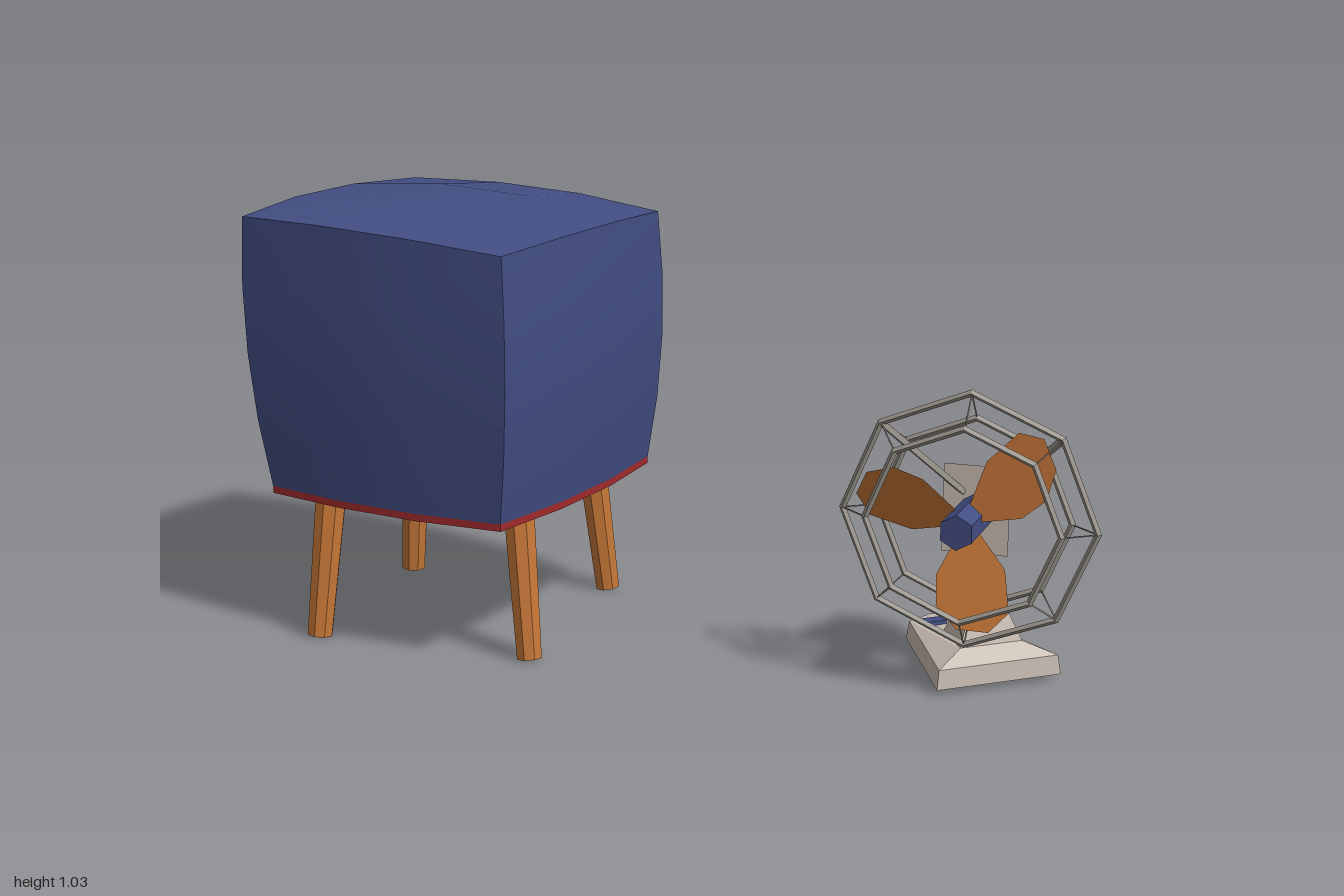
import * as THREE from 'three';

const mat = (name, color, extra = {}) => {
  const m = new THREE.MeshStandardMaterial({ color, ...extra });
  m.name = name;
  return m;
};

export function createModel() {
  const blue = mat('blue fabric', 0x424d82);
  const red = mat('red trim', 0xa02a2c);
  const orange = mat('orange wood', 0xc87838, { side: THREE.DoubleSide, flatShading: true });
  const beige = mat('beige casing', 0xc8bcb2, { flatShading: true });
  const wire = mat('grey wire', 0x98928a, { flatShading: true });
  const navy = mat('blue plastic', 0x424d82, { flatShading: true });

  const model = new THREE.Group();
  const add = (parent, name, geo, material, x = 0, y = 0, z = 0) => {
    const m = new THREE.Mesh(geo, material);
    m.name = name;
    m.position.set(x, y, z);
    parent.add(m);
    return m;
  };
  const group = (parent, name, x = 0, y = 0, z = 0, yaw = 0) => {
    const g = new THREE.Group();
    g.name = name;
    g.position.set(x, y, z);
    g.rotation.y = yaw;
    parent.add(g);
    return g;
  };
  // straight rod between two points
  const rod = (parent, name, a, b, r0, r1, sides, material) => {
    const d = b.clone().sub(a);
    const m = add(parent, name, new THREE.CylinderGeometry(r1, r0, d.length(), sides), material);
    m.position.copy(a).addScaledVector(d, 0.5);
    m.quaternion.setFromUnitVectors(new THREE.Vector3(0, 1, 0), d.normalize());
    return m;
  };
  const V = (x, y, z) => new THREE.Vector3(x, y, z);

  // ---- stool ----
  const stool = group(model, 'stool');
  // pillow-like bulge applied to a subdivided cube
  const bulge = (geo, place) => {
    const p = geo.attributes.position;
    for (let i = 0; i < p.count; i++) {
      const x = p.getX(i), y = p.getY(i), z = p.getZ(i);
      const { t, h } = place(x, y, z);
      const hx = 0.322 + 0.113 * t - 0.078 * t * t;
      const hz = 0.331 + 0.064 * t - 0.052 * t * t;
      p.setXYZ(i, x * (hx + 0.028 * (1 - z * z)) - 0.01 * t, h, z * (hz + 0.028 * (1 - x * x)));
    }
    geo.computeVertexNormals();
    return geo;
  };
  const cushion = group(stool, 'cushionGroup', -0.57, 0, 0, -0.2);
  add(cushion, 'cushion', bulge(new THREE.BoxGeometry(2, 2, 2, 3, 4, 3), (x, y, z) => {
    const t = (y + 1) / 2, fx = 1 - x * x, fz = 1 - z * z;
    const top = 0.985 - 0.015 * x + 0.014 * (fx + fz) + 0.02 * fx * fz;
    return { t, h: 0.356 + (top - 0.356) * t };
  }), blue);
  add(cushion, 'trimPlate', bulge(new THREE.BoxGeometry(2, 2, 2, 3, 1, 3),
    (x, y) => ({ t: 0, h: y < 0 ? 0.339 : 0.356 })), red);
  for (const sx of [-1, 1]) for (const sz of [-1, 1]) {
    rod(stool, 'stoolLeg', V(-0.57 + sx * 0.268, 0.001, sz * 0.273),
      V(-0.57 + sx * 0.238, 0.345, sz * 0.245), 0.031, 0.038, 8, orange);
  }

  // ---- fan ----
  const fan = group(model, 'fan', 0.7, 0, 0);

  // base and stem: one outline lofted upward
  const outline = [[0.155, 0.12], [0.075, -0.215], [0, -0.25], [-0.075, -0.215], [-0.155, 0.12]];
  const levels = [
    { y: 0.01, s: 1, c: 0 }, { y: 0.055, s: 0.96, c: 0 },
    { y: 0.085, s: 0.5, c: 0.015 }, { y: 0.22, s: 0.14, c: 0.02 }, { y: 0.36, s: 0.14, c: 0.02 },
  ];
  const rings = levels.map(({ y, s, c }) => outline.map(([x, z]) =>
    // the slim upper levels become rounder in plan
    V(x * s, y - (s === 0.5 && z < 0 ? 0.018 : 0), (s < 0.2 ? z * 0.75 : z) * s + c)));
  const pos = [], n = outline.length;
  const tri = (...pts) => pts.forEach(p => pos.push(p.x, p.y, p.z));
  for (let k = 0; k < rings.length - 1; k++) for (let i = 0; i < n; i++) {
    const j = (i + 1) % n, lo = rings[k], hi = rings[k + 1];
    tri(lo[i], lo[j], hi[j]);
    tri(lo[i], hi[j], hi[i]);
  }
  for (let i = 1; i < n - 1; i++) {
    const b = rings[0];
    tri(b[0], b[i + 1], b[i]);
  }
  const baseGeo = new THREE.BufferGeometry();
  baseGeo.setAttribute('position', new THREE.Float32BufferAttribute(pos, 3));
  baseGeo.computeVertexNormals();
  const base = group(fan, 'baseGroup', 0, 0, 0.03, 0.65);
  add(base, 'baseAndStem', baseGeo, beige);
  for (const s of [-1, 1]) {
    add(base, 'button', new THREE.BoxGeometry(0.055, 0.012, 0.042), navy, s * 0.034, 0.064, -0.16)
      .rotation.x = -0.1;
  }

  // tapered motor housing
  const head = new THREE.BoxGeometry(0.15, 0.205, 0.18);
  const hp = head.attributes.position;
  for (let i = 0; i < hp.count; i++) {
    if (hp.getZ(i) > 0) continue;
    hp.setX(i, hp.getX(i) * 0.55);
    hp.setY(i, hp.getY(i) * 0.49);
  }
  head.computeVertexNormals();
  add(fan, 'motorHousing', head, beige, 0, 0.398, 0);

  // hub, blades and cage share one slightly turned axis
  const rotor = group(fan, 'rotorAndCage', 0, 0.4, 0.183, -0.07);
  const hubGeo = new THREE.CylinderGeometry(0.04, 0.04, 0.2, 6).rotateX(Math.PI / 2);
  add(rotor, 'hub', hubGeo, navy);

  const bladeShape = new THREE.Shape([
    [0.03, -0.025], [0.11, -0.08], [0.18, -0.088], [0.24, -0.05],
    [0.258, 0.02], [0.22, 0.07], [0.12, 0.072], [0.03, 0.025],
  ].map(([x, y]) => new THREE.Vector2(x, y)));
  const bladeGeo = new THREE.ShapeGeometry(bladeShape).rotateX(-0.4);
  for (const deg of [47, 168, -82]) {
    add(rotor, 'blade', bladeGeo, orange, 0, 0, 0.01).rotation.z = deg * Math.PI / 180;
  }

  // cage: three octagonal hoops with thin ties between them
  const hoops = [[0.22, 0.053], [0.288, 0], [0.22, -0.053]];
  for (const [r, z] of hoops) {
    add(rotor, 'cageHoop', new THREE.TorusGeometry(r, 0.008, 4, 8), wire, 0, 0, z);
  }
  for (let i = 0; i < 8; i++) {
    const a = i * Math.PI / 4;
    const at = ([r, z]) => V(Math.cos(a) * r, Math.sin(a) * r, z);
    for (let k = 0; k < 2; k++) {
      rod(rotor, 'cageTie', at(hoops[k]), at(hoops[k + 1]), 0.002, 0.002, 3, wire);
    }
    // two upper arms carry the cage from the housing
    if (i === 1 || i === 3) rod(rotor, 'cageArm', at([0.05, -0.095]), at(hoops[1]), 0.009, 0.009, 4, wire);
  }

  return model;
}
